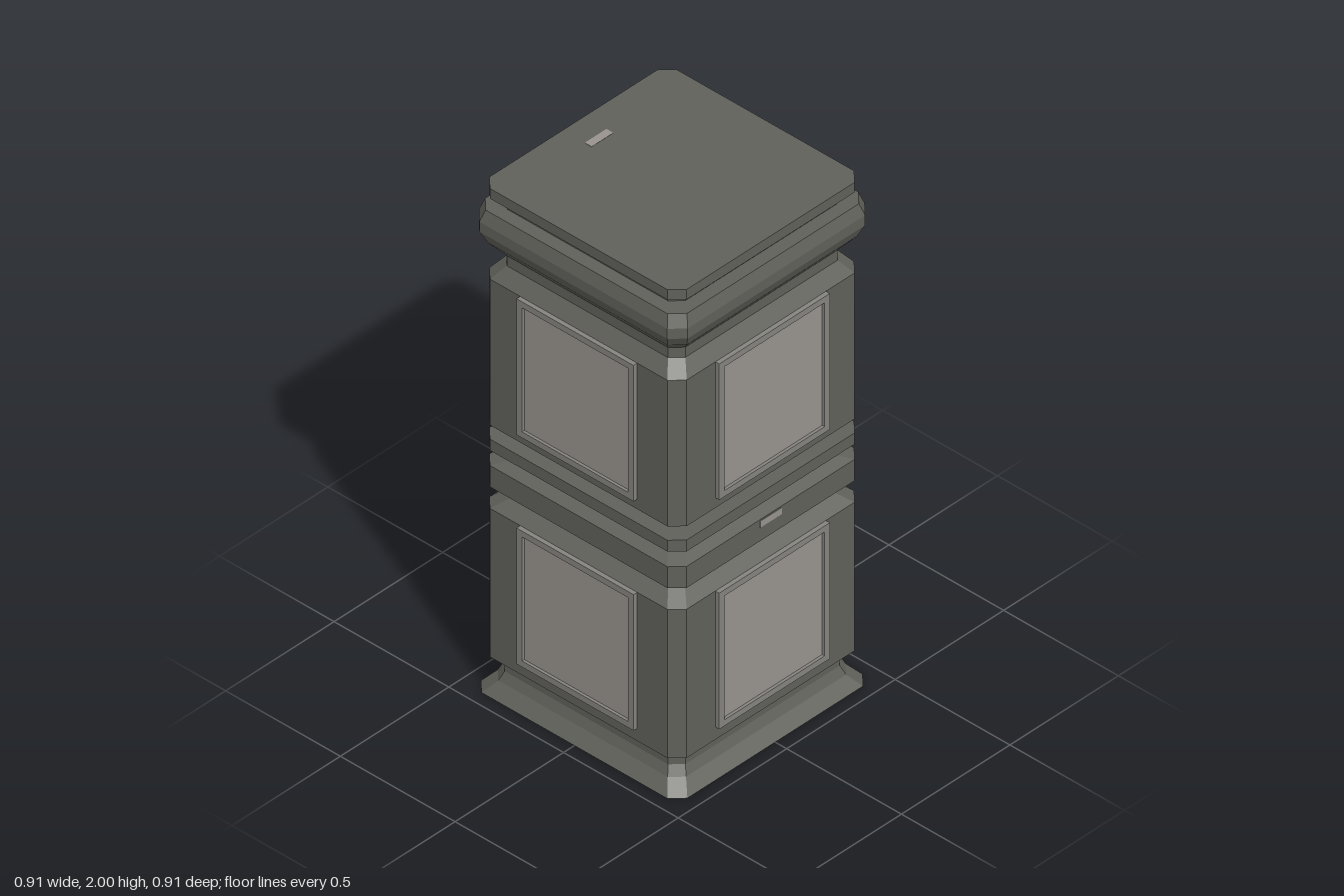
import * as THREE from 'three';

const stone = new THREE.MeshStandardMaterial({ color: 0x60615a, side: THREE.DoubleSide });
stone.name = 'dark stone';
const panelMat = new THREE.MeshStandardMaterial({ color: 0x98938e });
panelMat.name = 'pale panel';
const frameMat = new THREE.MeshStandardMaterial({ color: 0x86847f });
frameMat.name = 'panel frame';

// Corner points of a square with cut corners
function ring(h, y) {
  const c = h * 0.1, k = h - c;
  return [[k, h], [h, k], [h, -k], [k, -h], [-k, -h], [-h, -k], [-h, k], [-k, h]]
    .map(([x, z]) => [x, y, z]);
}

// Lofts cut-corner squares through a profile of [half width, height]
function loft(profile, capped) {
  const rings = profile.map(([h, y]) => ring(h, y));
  const pos = [];
  const tri = (...points) => points.forEach((p) => pos.push(...p));
  for (let i = 0; i < rings.length - 1; i++) {
    for (let j = 0; j < 8; j++) {
      const n = (j + 1) % 8, lo = rings[i], hi = rings[i + 1];
      tri(lo[j], lo[n], hi[n]);
      tri(lo[j], hi[n], hi[j]);
    }
  }
  if (capped) {
    const top = rings[rings.length - 1];
    for (let j = 1; j < 7; j++) tri(top[0], top[j], top[j + 1]);
  }
  const g = new THREE.BufferGeometry();
  g.setAttribute('position', new THREE.Float32BufferAttribute(pos, 3));
  g.computeVertexNormals();
  return g;
}

function rectPath(target, w, h) {
  target.moveTo(-w, -h);
  target.lineTo(w, -h);
  target.lineTo(w, h);
  target.lineTo(-w, h);
  target.closePath();
  return target;
}

function addMesh(parent, name, geometry, material, x = 0, y = 0, z = 0) {
  const m = new THREE.Mesh(geometry, material);
  m.name = name;
  m.position.set(x, y, z);
  parent.add(m);
  return m;
}

export function createModel() {
  const model = new THREE.Group();
  model.name = 'pillar';

  // Stacked sections, open underneath
  addMesh(model, 'foot', loft([[0.45, 0], [0.41, 0.045], [0.395, 0.08], [0.395, 0.14]]), stone);
  addMesh(model, 'lowerBlock', loft([[0.395, 0.14], [0.43, 0.14], [0.43, 0.73], [0.36, 0.785]]), stone);
  addMesh(model, 'middleBand', loft([[0.36, 0.785], [0.43, 0.815], [0.43, 0.9], [0.365, 0.925],
    [0.365, 0.96], [0.43, 0.96], [0.43, 1.005], [0.365, 1.005], [0.365, 1.04]]), stone);
  addMesh(model, 'upperBlock', loft([[0.365, 1.04], [0.41, 1.045], [0.43, 1.06], [0.43, 1.64],
    [0.39, 1.69]]), stone);
  addMesh(model, 'collar', loft([[0.39, 1.69], [0.39, 1.73], [0.435, 1.785], [0.455, 1.83],
    [0.455, 1.87], [0.44, 1.915], [0.39, 1.915], [0.39, 1.96]]), stone);
  addMesh(model, 'capSlab', loft([[0.39, 1.96], [0.43, 1.96], [0.43, 2]], true), stone);

  // Raised frame with a recessed panel
  const frameShape = rectPath(new THREE.Shape(), 0.255, 0.27);
  frameShape.holes.push(rectPath(new THREE.Path(), 0.231, 0.246));
  const frameGeo = new THREE.ExtrudeGeometry(frameShape, { depth: 0.025, bevelEnabled: false });
  const panelGeo = new THREE.BoxGeometry(0.47, 0.5, 0.016);
  const markGeo = new THREE.BoxGeometry(0.1, 0.026, 0.006);

  ['front', 'left', 'back', 'right'].forEach((side, i) => {
    const face = new THREE.Group();
    face.name = side + 'Face';
    face.rotation.y = i * Math.PI / 2;
    [['lower', 0.46], ['upper', 1.37]].forEach(([level, y]) => {
      addMesh(face, level + 'Frame', frameGeo, frameMat, 0, y, 0.422);
      addMesh(face, level + 'Panel', panelGeo, panelMat, 0, y, 0.428);
    });
    // Small pale chip on the middle band
    if (side !== 'front') addMesh(face, 'bandChip', markGeo, panelMat, 0, 0.882, 0.429);
    model.add(face);
  });

  // Small pale chip on the cap
  addMesh(model, 'capChip', new THREE.BoxGeometry(0.03, 0.004, 0.1), panelMat, -0.318, 1.999, 0);
  return model;
}
